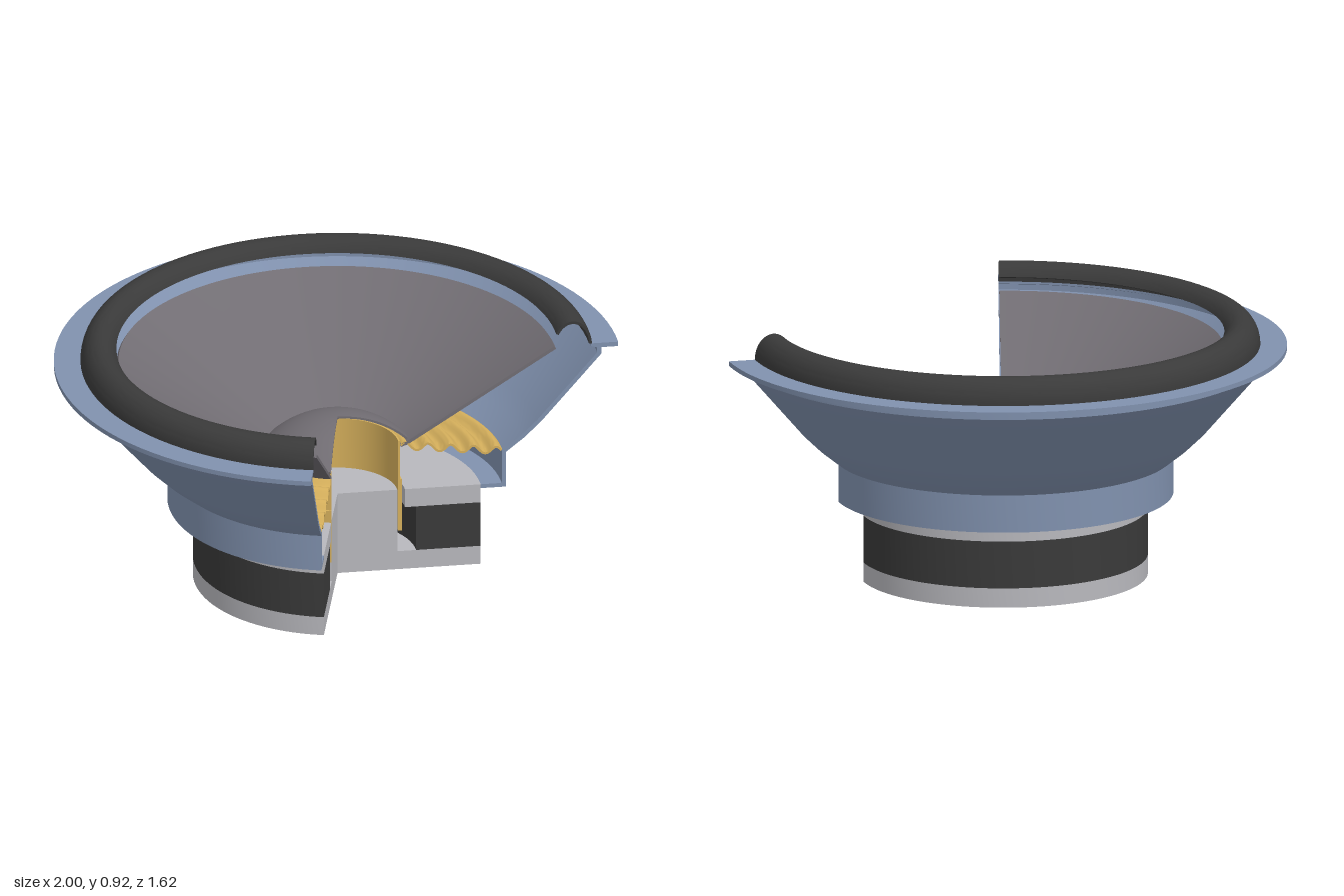
import * as THREE from 'three';
import { mergeGeometries, toCreasedNormals } from 'three/addons/utils/BufferGeometryUtils.js';

const CUT = THREE.MathUtils.degToRad(52); // half angle of the open wedge at the front

const mat = (name, color) => Object.assign(new THREE.MeshStandardMaterial({ color }), { name });

// Sweeps a closed (radius, y) outline around the axis and caps both cut planes
function revolve(outline, crease = 0.6) {
  const pts = outline.map(([r, y]) => new THREE.Vector2(r, y));
  if (THREE.ShapeUtils.area(pts) < 0) pts.reverse();
  const body = new THREE.LatheGeometry([...pts, pts[0].clone()], 80, CUT, 2 * Math.PI - 2 * CUT);
  const capA = new THREE.ShapeGeometry(new THREE.Shape(pts));
  const capB = capA.clone();
  capA.rotateY(CUT - Math.PI / 2);
  capB.rotateY(-CUT - Math.PI / 2);
  const idx = capB.index.array;
  for (let i = 0; i < idx.length; i += 3) [idx[i], idx[i + 1]] = [idx[i + 1], idx[i]];
  const merged = mergeGeometries([body, capA, capB].map((g) => g.toNonIndexed()));
  return toCreasedNormals(merged, crease);
}

// Turns an open path into a thin closed outline
function shell(path, t) {
  const inner = path.map(([r, y], i) => {
    const a = path[Math.max(i - 1, 0)];
    const b = path[Math.min(i + 1, path.length - 1)];
    const dx = b[0] - a[0], dy = b[1] - a[1], l = Math.hypot(dx, dy);
    return [Math.max(r + (dy / l) * t, 0), y - (dx / l) * t];
  });
  return [...path, ...inner.reverse()];
}

const ring = (r0, r1, y0, y1) => [[r0, y0], [r1, y0], [r1, y1], [r0, y1]];
const sample = (n, fn) => Array.from({ length: n + 1 }, (_, i) => fn(i / n));

export function createModel() {
  const steel = mat('steel', 0xb8b8bd);
  const black = mat('black rubber and ferrite', 0x3a3a3a);
  const blue = mat('blue painted metal', 0x8091ae);
  const paper = mat('grey paper', 0x716d73);
  const gold = mat('gold', 0xd6b05c);

  const model = new THREE.Group();
  model.name = 'cutawayLoudspeaker';
  const add = (name, outline, material, crease) => {
    const mesh = new THREE.Mesh(revolve(outline, crease), material);
    mesh.name = name;
    mesh.position.z = 0.192;
    model.add(mesh);
  };

  // Magnet assembly
  add('backPlateAndPole', [[0, 0], [0.51, 0], [0.51, 0.07], [0.213, 0.07], [0.213, 0.31], [0, 0.31]], steel);
  add('magnet', ring(0.28, 0.51, 0.07, 0.24), black);
  add('topPlate', ring(0.24, 0.51, 0.24, 0.31), steel);

  // Basket with seat, flared wall and mounting flange
  add('basket', [
    [0.51, 0.295], [0.6, 0.295], [0.6, 0.43], [0.665, 0.482], [0.725, 0.54], [0.94, 0.79], [0.94, 0.815],
    [1, 0.815], [1, 0.832], [0.903, 0.832], [0.903, 0.822], [0.925, 0.815], [0.925, 0.795],
    [0.712, 0.548], [0.655, 0.492], [0.585, 0.437], [0.585, 0.31], [0.51, 0.31],
  ], blue);

  // Voice coil
  add('coilFormer', ring(0.216, 0.222, 0.15, 0.5), gold);
  add('coilWinding', ring(0.222, 0.229, 0.15, 0.35), gold);

  // Corrugated suspension
  add('spider', shell(sample(54, (t) => [
    0.222 + 0.365 * t,
    0.485 - 0.045 * t + 0.014 * Math.sin(t * Math.PI * 9),
  ]), 0.008), gold, 0.9);

  // Cone, dust cap and rolled edge
  add('cone', shell([[0.222, 0.487], [0.245, 0.495], [0.772, 0.83]], 0.012), paper);
  add('dustCap', shell(sample(14, (t) => {
    const a = t * 0.76;
    return [0.363 * Math.sin(a), 0.247 + 0.363 * Math.cos(a)];
  }), 0.008), paper);
  add('surround', shell(sample(24, (t) => {
    const a = Math.PI * (5 / 6) * (1 - t);
    return [0.838 + 0.068 * Math.cos(a), 0.832 + 0.09 * Math.sin(a)];
  }), 0.01), black);

  return model;
}
